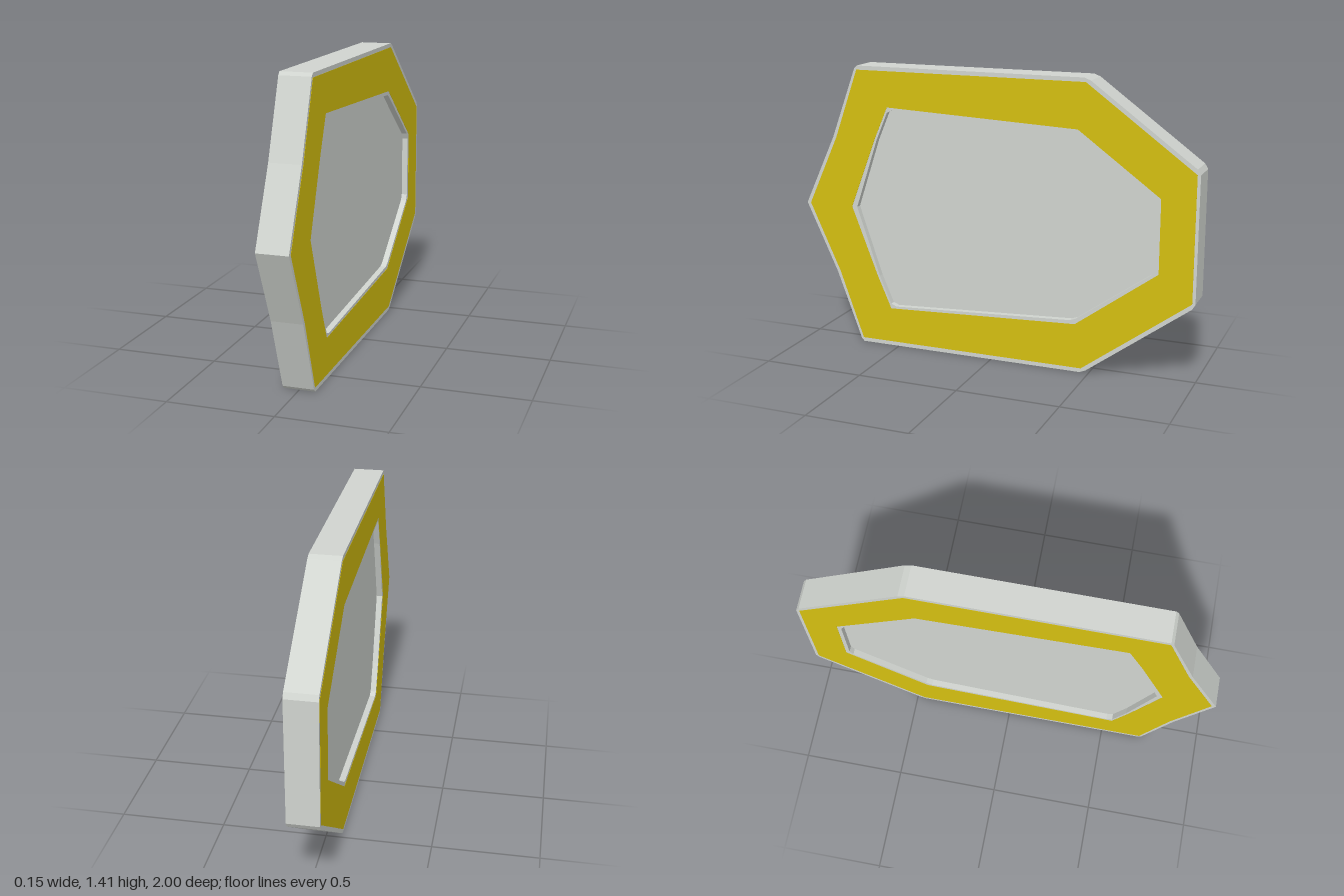
import * as THREE from 'three';

const MID = 0.705; // height of the symmetry line

// Upper half outlines as [z, y], mirrored about MID to close the loop
const OUTER = [[1, MID], [0.84, 1.05], [0.712, 1.395], [0.698, 1.41], [-0.455, 1.41], [-0.485, 1.398], [-0.985, 1.03], [-1, 1.005]];
const INNER = [[0.717, MID], [0.6, 1.05], [0.54, 1.19], [0.51, 1.202], [-0.405, 1.155], [-0.435, 1.143], [-0.79, 0.89], [-0.806, 0.86]];
const BAND_OUTER = [[0.98, MID], [0.822, 1.05], [0.7, 1.39], [-0.462, 1.39], [-0.985, 1.005]];
const BAND_INNER = [[0.745, MID], [0.612, 1.05], [0.54, 1.215], [-0.428, 1.172], [-0.825, 0.882]];

function loop(half) {
  const lower = half.slice(1).reverse().map(([z, y]) => [z, 2 * MID - y]);
  return [...half, ...lower].map(([z, y]) => new THREE.Vector2(z, y));
}

// Plate in the z-y plane, centred on the given x
function plate(name, outline, hole, width, x, material) {
  const shape = new THREE.Shape(loop(outline));
  if (hole) shape.holes.push(new THREE.Path(loop(hole)));
  const geometry = new THREE.ExtrudeGeometry(shape, { depth: width, bevelEnabled: false });
  geometry.translate(0, 0, -width / 2);
  geometry.rotateY(-Math.PI / 2);
  const mesh = new THREE.Mesh(geometry, material);
  mesh.name = name;
  mesh.position.x = x;
  return mesh;
}

export function createModel() {
  const grey = new THREE.MeshStandardMaterial({ color: 0xd0d4cf });
  grey.name = 'pale grey';
  const yellow = new THREE.MeshStandardMaterial({ color: 0xd4bf10 });
  yellow.name = 'yellow';

  const model = new THREE.Group();
  model.name = 'framedPanel';

  // Thick frame with a recessed panel in its opening
  model.add(plate('frame', OUTER, INNER, 0.148, 0, grey));
  model.add(plate('recessedPanel', INNER, null, 0.09, 0, grey));

  // Painted band on both faces
  for (const side of [-1, 1]) {
    model.add(plate(side > 0 ? 'leftBand' : 'rightBand', BAND_OUTER, BAND_INNER, 0.004, side * 0.073, yellow));
  }
  return model;
}
